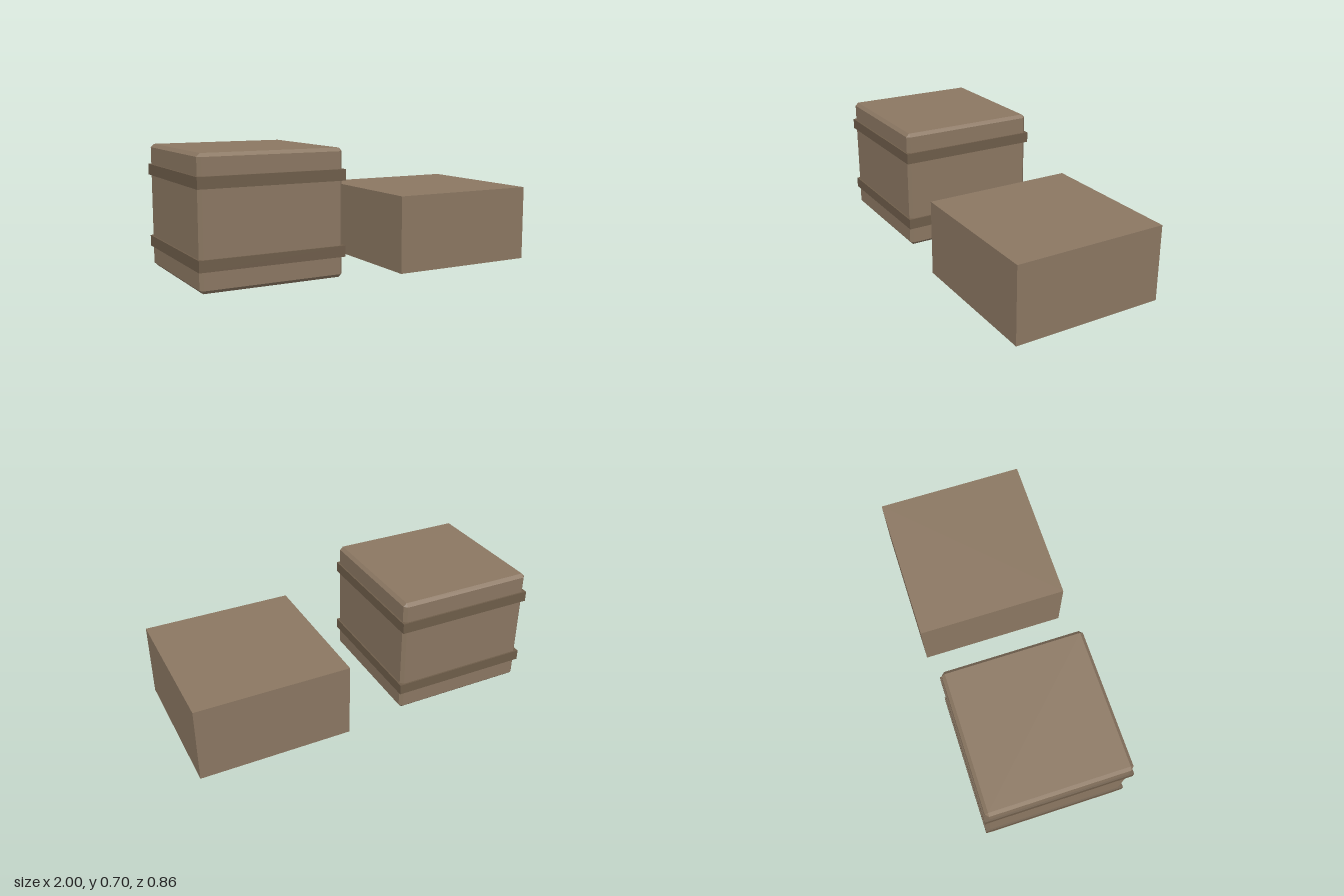
import * as THREE from 'three';
import { ConvexGeometry } from 'three/addons/geometries/ConvexGeometry.js';

// Box whose edges and corners are all cut by a flat chamfer
function chamferedBox(w, h, d, c) {
  const points = [];
  for (const x of [-w / 2, w / 2])
    for (const y of [-h / 2, h / 2])
      for (const z of [-d / 2, d / 2]) {
        const ix = x - Math.sign(x) * c, iy = y - Math.sign(y) * c, iz = z - Math.sign(z) * c;
        points.push(
          new THREE.Vector3(x, iy, iz),
          new THREE.Vector3(ix, y, iz),
          new THREE.Vector3(ix, iy, z)
        );
      }
  return new ConvexGeometry(points);
}

export function createModel() {
  const model = new THREE.Group();
  const wood = new THREE.MeshStandardMaterial({ color: 0x8b7762 });
  const darkWood = new THREE.MeshStandardMaterial({ color: 0x6e5d4a });

  const add = (parent, name, geometry, material, x, y) => {
    const mesh = new THREE.Mesh(geometry, material);
    mesh.name = name;
    mesh.position.set(x, y, 0);
    parent.add(mesh);
  };

  // Chamfered crate with two bands around it
  const crate = new THREE.Group();
  crate.name = 'bandedCrate';
  crate.position.x = -0.597;
  add(crate, 'crateBody', chamferedBox(0.788, 0.685, 0.788, 0.018), wood, 0, 0.3575);
  const band = new THREE.BoxGeometry(0.806, 0.06, 0.806);
  add(crate, 'lowerBand', band, darkWood, 0, 0.156);
  add(crate, 'upperBand', band, darkWood, 0, 0.559);
  model.add(crate);

  // Plain low box
  add(model, 'plainBox', new THREE.BoxGeometry(0.86, 0.427, 0.86), wood, 0.57, 0.2135);

  return model;
}
